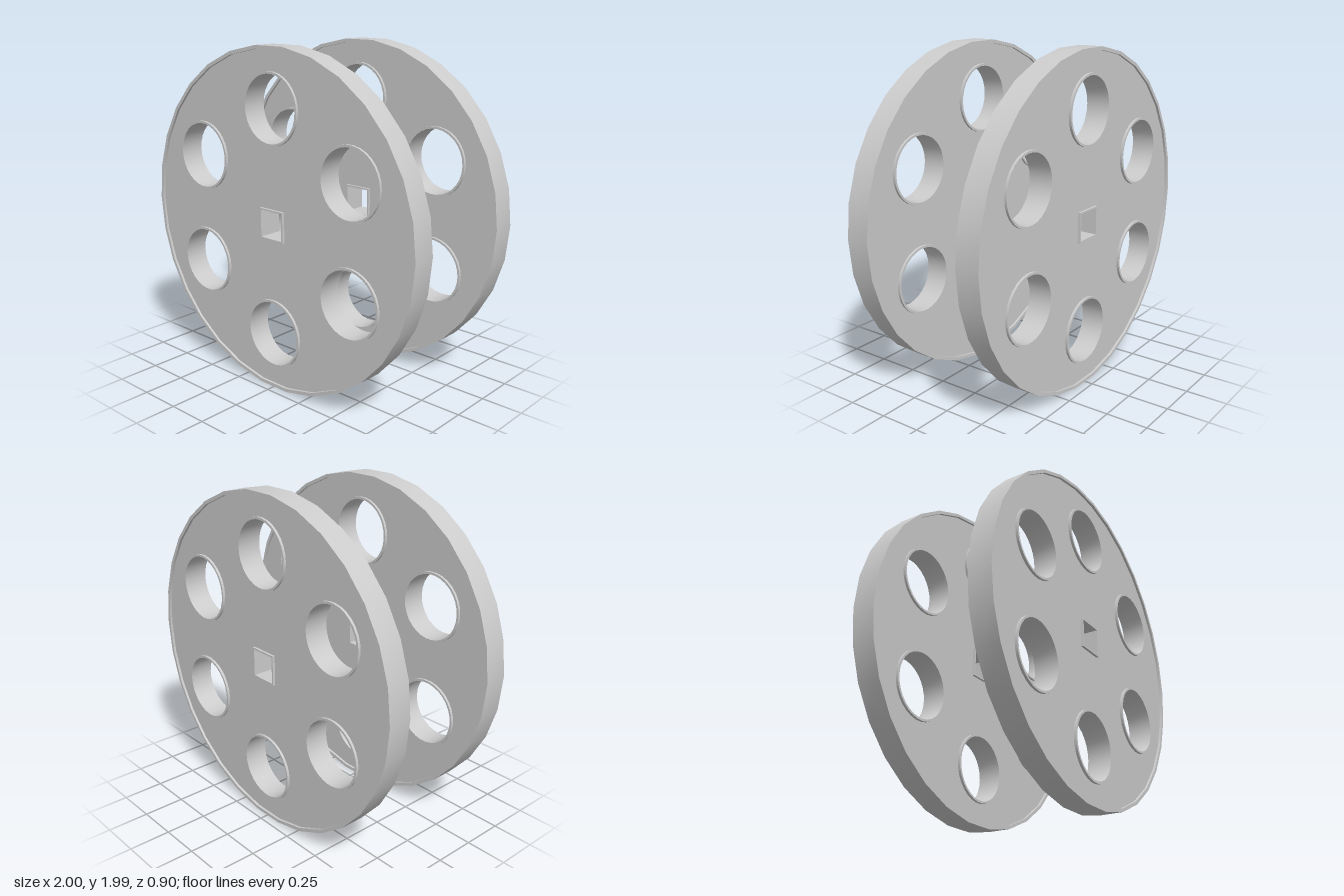
import * as THREE from 'three';
import { toCreasedNormals } from 'three/addons/utils/BufferGeometryUtils.js';

const SIDES = 30, HOLE_SIDES = 30;
const CENTRE_Y = Math.cos(Math.PI / SIDES); // a flat side rests on the ground
const DEPTH = 0.145, LIP = 0.015, PLATE_Z = 0.3775;

const material = new THREE.MeshStandardMaterial({ color: 0xcccccc });

// Corner points of a regular polygon
function polygon(radius, sides, cx = 0, cy = 0, start = 0) {
  return Array.from({ length: sides }, (_, i) => {
    const a = start + (i / sides) * Math.PI * 2;
    return new THREE.Vector2(cx + radius * Math.cos(a), cy + radius * Math.sin(a));
  });
}

function shapeWithHoles(outline, holes) {
  const shape = new THREE.Shape(outline);
  holes.forEach((h) => shape.holes.push(new THREE.Path(h)));
  return shape;
}

function add(group, name, geometry) {
  const mesh = new THREE.Mesh(geometry, material);
  mesh.name = name;
  group.add(mesh);
  return mesh;
}

// A full-depth collar between two outlines, standing proud of the web
function collar(group, name, outer, inner) {
  const geo = new THREE.ExtrudeGeometry(shapeWithHoles(outer, [inner]), { depth: DEPTH, bevelEnabled: false });
  geo.translate(0, 0, -DEPTH / 2);
  add(group, name, toCreasedNormals(geo, 0.5));
}

function createDisc(name) {
  const disc = new THREE.Group();
  disc.name = name;

  // Outer rim
  const webEdge = polygon(0.98, SIDES);
  collar(disc, 'outerRim', polygon(1, SIDES), webEdge);

  // Six round holes and their collars
  const openings = [];
  for (let i = 0; i < 6; i++) {
    const a = Math.PI / 6 + (i * Math.PI) / 3;
    const x = 0.656 * Math.cos(a), y = 0.656 * Math.sin(a);
    const outer = polygon(0.205, HOLE_SIDES, x, y);
    collar(disc, 'holeCollar', outer, polygon(0.192, HOLE_SIDES, x, y));
    openings.push(outer);
  }

  // Square axle hole
  const square = (half) => polygon(half * Math.SQRT2, 4, 0, 0, Math.PI / 4);
  collar(disc, 'axleCollar', square(0.09), square(0.08));
  openings.push(square(0.09));

  // Front and back faces of the web, sunk below the lips
  const web = new THREE.ShapeGeometry(shapeWithHoles(webEdge, openings));
  const faceZ = DEPTH / 2 - LIP;
  add(disc, 'webFront', web).position.z = faceZ;
  const back = add(disc, 'webBack', web);
  back.position.z = -faceZ;
  back.rotation.x = Math.PI; // the outline is symmetric top to bottom
  return disc;
}

export function createModel() {
  const model = new THREE.Group();
  model.name = 'wheelPair';
  for (const [name, side] of [['frontDisc', 1], ['backDisc', -1]]) {
    const disc = createDisc(name);
    disc.position.set(0, CENTRE_Y, side * PLATE_Z);
    model.add(disc);
  }
  return model;
}
